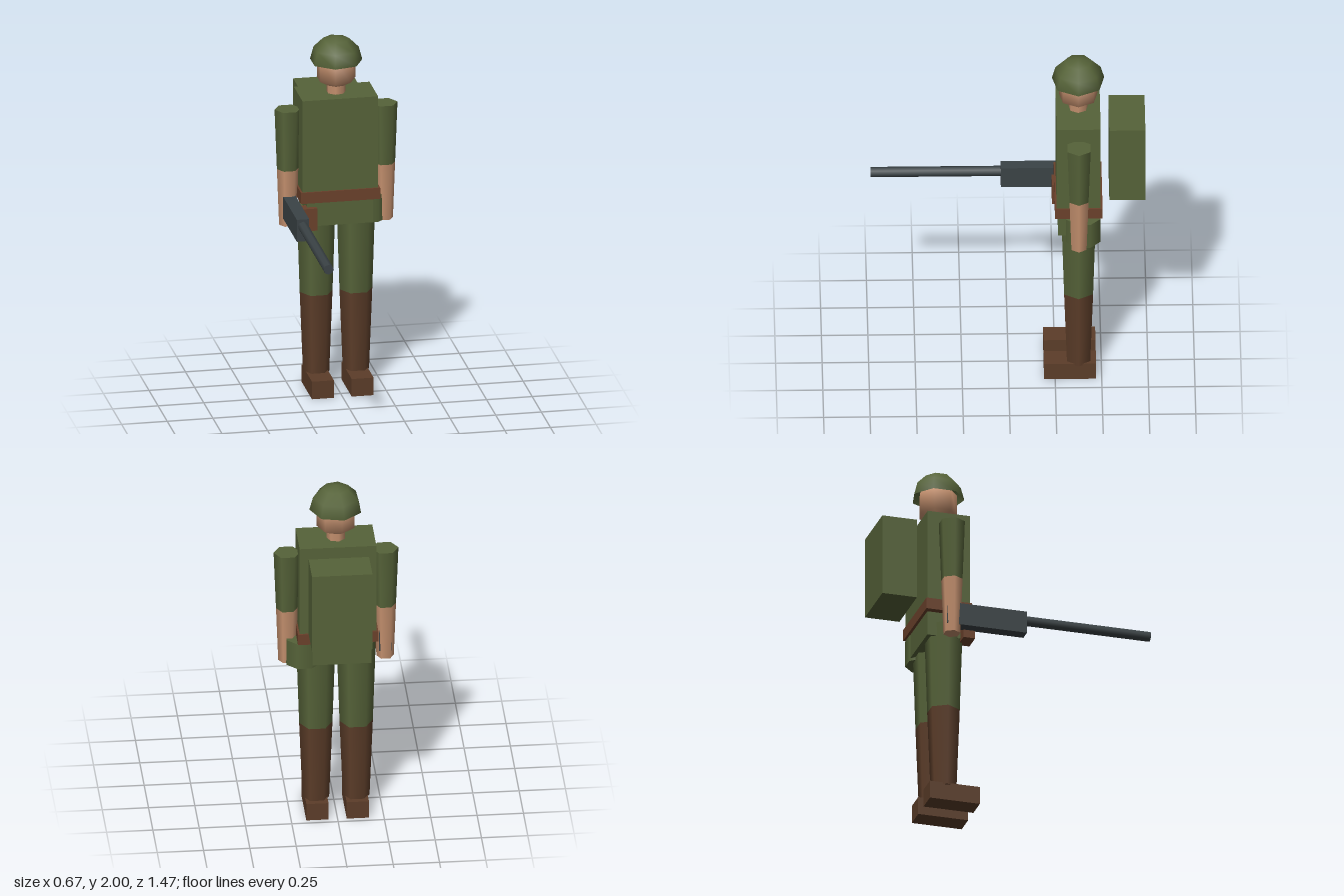
import * as THREE from 'three';

export function createModel() {
  const model = new THREE.Group();
  model.name = 'soldier';
  const Z = -0.376; // depth of the body axis

  const mat = (name, color, side = THREE.FrontSide) => {
    const m = new THREE.MeshStandardMaterial({ color, side });
    m.name = name;
    return m;
  };
  const olive = mat('olive cloth', 0x566339, THREE.DoubleSide);
  const skin = mat('skin', 0xc4906e);
  const boot = mat('boot leather', 0x5c3d29);
  const leather = mat('belt leather', 0x6b412b);
  const metal = mat('gun metal', 0x3b4346);

  const add = (name, geo, material, x, y, z) => {
    const m = new THREE.Mesh(geo, material);
    m.name = name;
    m.position.set(x, y, z);
    model.add(m);
    return m;
  };
  // Box given by its ranges
  const box = (name, material, [x0, x1], [y0, y1], [z0, z1]) =>
    add(name, new THREE.BoxGeometry(x1 - x0, y1 - y0, z1 - z0), material,
      (x0 + x1) / 2, (y0 + y1) / 2, (z0 + z1) / 2);
  // Upright tapered prism with a corner on the x axis
  const limb = (name, material, x, z, y0, y1, r0, r1, sides = 6, start = Math.PI / 2) =>
    add(name, new THREE.CylinderGeometry(r1, r0, y1 - y0, sides, 1, false, start),
      material, x, (y0 + y1) / 2, z);

  // Trunk
  box('torso', olive, [-0.207, 0.207], [1.1, 1.68], [-0.494, -0.257]);
  box('hips', olive, [-0.18, 0.18], [0.96, 1.1], [-0.488, -0.265]);
  box('belt', leather, [-0.217, 0.217], [1.097, 1.16], [-0.504, -0.248]);
  box('backpack', olive, [-0.163, 0.163], [1.18, 1.64], [-0.735, -0.541]);

  // Belt kit
  box('pouch', leather, [-0.238, -0.13], [0.944, 1.07], [-0.302, -0.237]);
  limb('canteen', olive, 0.18, -0.4, 0.944, 1.095, 0.1, 0.1, 8, Math.PI / 8);

  // Arms and legs
  for (const [side, s] of [['left', 1], ['right', -1]]) {
    limb(side + 'Sleeve', olive, s * 0.265, Z, 1.26, 1.6, 0.059, 0.072);
    limb(side + 'Forearm', skin, s * 0.265, Z, 0.942, 1.26, 0.047, 0.059);
    limb(side + 'Thigh', olive, s * 0.109, Z, 0.55, 1.04, 0.09, 0.106);
    limb(side + 'Shin', boot, s * 0.109, Z, 0.09, 0.55, 0.072, 0.09);
    box(side + 'Foot', boot, [s * 0.109 - 0.06, s * 0.109 + 0.06], [0, 0.1], [-0.47, -0.19]);
  }

  // Head, neck and open helmet, all seven-sided
  limb('neck', skin, 0, Z, 1.67, 1.77, 0.052, 0.052, 7);
  add('head', new THREE.SphereGeometry(0.122, 7, 3), skin, 0, 1.817, Z).rotation.y = Math.PI;
  add('helmet', new THREE.SphereGeometry(0.144, 7, 3, 0, Math.PI * 2, 0, Math.PI / 2),
    olive, 0, 1.856, Z).rotation.y = Math.PI;

  // Rifle held in the right hand
  box('gunBody', metal, [-0.297, -0.229], [0.988, 1.113], [-0.412, 0.036]);
  add('gunBarrel', new THREE.CylinderGeometry(0.028, 0.028, 0.7, 8), metal,
    -0.262, 1.073, 0.385).rotation.x = Math.PI / 2;

  return model;
}
